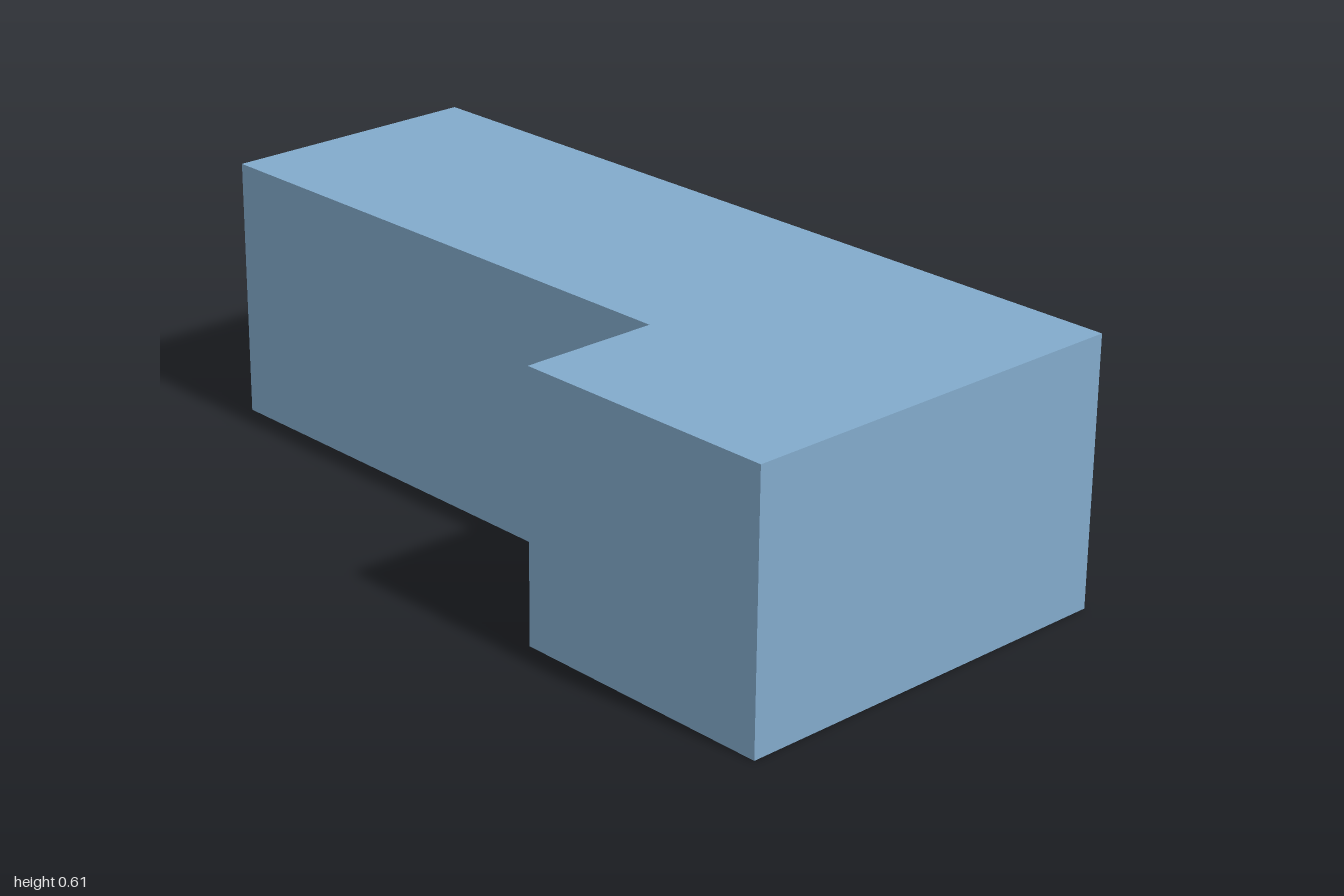
import * as THREE from 'three';

export function createModel() {
  const group = new THREE.Group();
  const height = 0.61;

  // L-shaped floor plan as [x, z] corners, with the short wing at the front left
  const plan = [[-1, 0.155], [0.36, 0.155], [0.36, 0.48], [1, 0.48], [1, -0.48], [-1, -0.48]];
  const outline = new THREE.Shape(plan.map(([x, z]) => new THREE.Vector2(x, -z)));

  // Extrude the plan and turn it upright so it stands on the ground
  const geometry = new THREE.ExtrudeGeometry(outline, { depth: height, bevelEnabled: false });
  geometry.rotateX(-Math.PI / 2);

  const block = new THREE.Mesh(geometry, new THREE.MeshStandardMaterial({ color: 0x82aacb }));
  block.name = 'lShapedBlock';
  group.add(block);
  return group;
}
